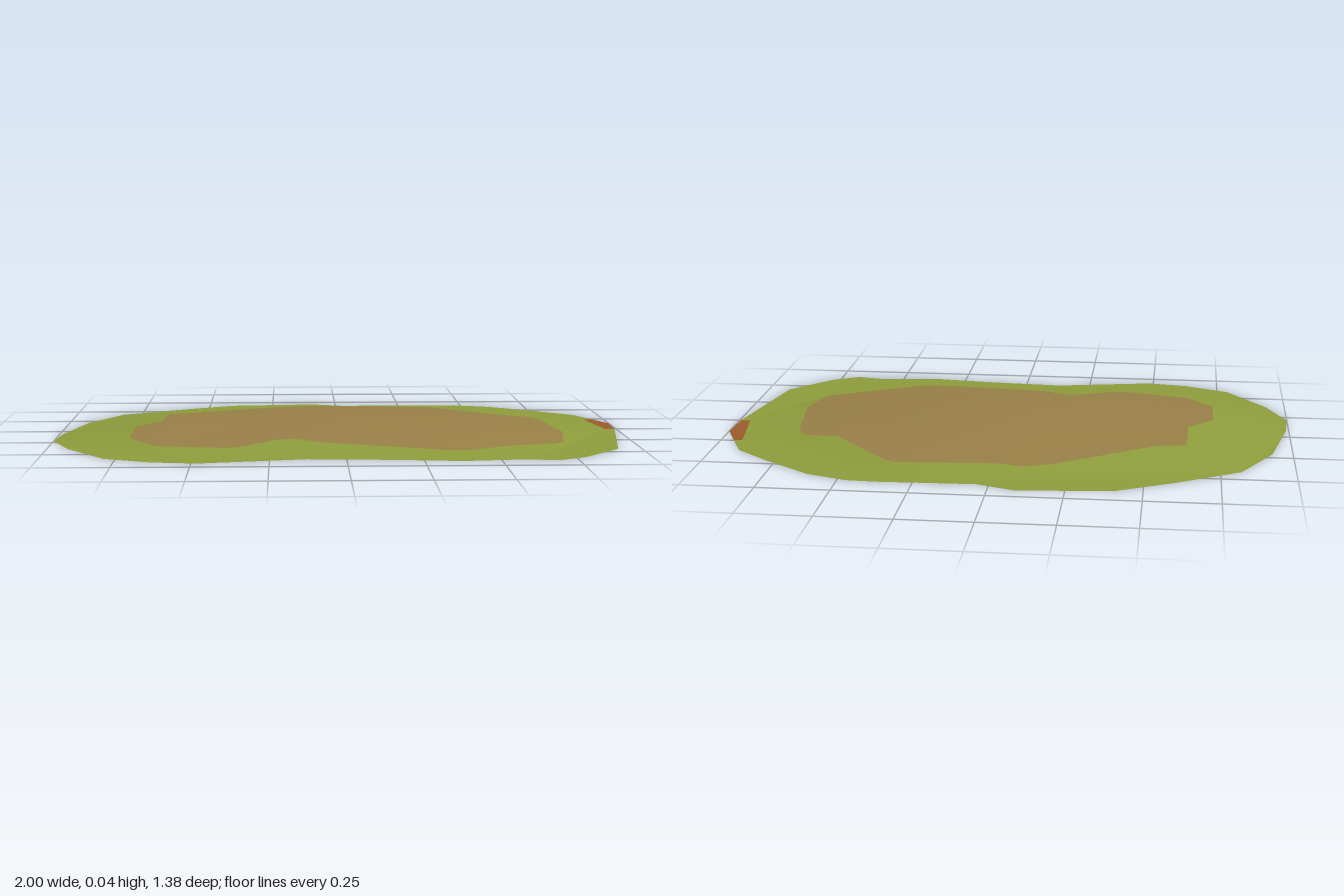
import * as THREE from 'three';

const flat = (name, color) => {
  const m = new THREE.MeshStandardMaterial({ color, side: THREE.DoubleSide });
  m.name = name;
  return m;
};
const grass = flat('grass green', 0x8f9f3c);
const earth = flat('earth brown', 0x9a8148);
const clay = flat('clay orange', 0x9b5c2b);

// Plan outlines as [x, z], clockwise seen from above
const rim = [
  [-0.41, -0.66], [-0.09, -0.69], [0.04, -0.64], [0.37, -0.65], [0.47, -0.645], [0.61, -0.595],
  [0.77, -0.475], [0.905, -0.36], [0.955, -0.245], [0.925, -0.24], [0.96, 0], [0.995, 0],
  [0.92, 0.44], [0.78, 0.605], [0.685, 0.66], [0.585, 0.64], [0.375, 0.665], [0.14, 0.635],
  [-0.13, 0.615], [-0.48, 0.685], [-0.63, 0.66], [-0.79, 0.585], [-0.93, 0.385], [-1, 0.215],
  [-0.99, 0.075], [-0.93, -0.21], [-0.82, -0.42], [-0.605, -0.555],
];
const plot = [
  [-0.1, -0.5], [-0.02, -0.48], [0.34, -0.485], [0.38, -0.46], [0.58, -0.235], [0.71, -0.205],
  [0.74, -0.155], [0.78, 0.14], [0.755, 0.33], [0.72, 0.355], [0.54, 0.44], [0.41, 0.515],
  [0.33, 0.52], [-0.085, 0.43], [-0.17, 0.38], [-0.22, 0.385], [-0.35, 0.475], [-0.4, 0.485],
  [-0.63, 0.43], [-0.73, 0.3], [-0.73, 0.09], [-0.64, -0.025], [-0.635, -0.23], [-0.54, -0.25],
  [-0.19, -0.47],
];
const patch = [[0.925, -0.24], [0.955, -0.245], [1, -0.14], [0.995, 0], [0.96, 0]];

// Height of the gentle mound, with a shallow hollow on one side
const crown = (x, z) =>
  0.045 - (x > 0 ? 0.05 : 0.028) * x * x - 0.1 * z * z
  - 0.008 * Math.exp(-((x + 0.4) ** 2 + (z - 0.16) ** 2) / 0.02);

const toPoints = (list) => list.map(([x, z]) => new THREE.Vector2(x, -z));

// Sheet spanning an outline lying on the ground and an optional raised hole
function sheet(outline, hole) {
  const shape = new THREE.Shape(toPoints(outline));
  if (hole) shape.holes.push(new THREE.Path(toPoints(hole)));
  const geo = new THREE.ShapeGeometry(shape).rotateX(-Math.PI / 2);
  const p = geo.attributes.position;
  for (let i = 0; i < p.count; i++) {
    p.setY(i, i < outline.length ? 0 : crown(p.getX(i), p.getZ(i)));
  }
  geo.computeVertexNormals();
  return geo;
}

// Mound made of shrinking copies of its outline
function mound(outline, rings) {
  const pos = [], index = [], n = outline.length;
  for (let r = 0; r < rings; r++) {
    const s = 1 - r / rings;
    for (const [x, z] of outline) pos.push(x * s, crown(x * s, z * s), z * s);
  }
  const top = n * rings;
  pos.push(0, crown(0, 0), 0);
  for (let r = 0; r < rings; r++) {
    for (let i = 0; i < n; i++) {
      const a = r * n + i, b = r * n + (i + 1) % n;
      if (r === rings - 1) index.push(a, top, b);
      else index.push(a, a + n, b, b, a + n, b + n);
    }
  }
  const geo = new THREE.BufferGeometry();
  geo.setAttribute('position', new THREE.Float32BufferAttribute(pos, 3));
  geo.setIndex(index);
  geo.computeVertexNormals();
  return geo;
}

export function createModel() {
  const group = new THREE.Group();
  group.name = 'groundPatch';
  const add = (name, geo, mat) => {
    const mesh = new THREE.Mesh(geo, mat);
    mesh.name = name;
    group.add(mesh);
  };
  add('grassBorder', sheet(rim, plot), grass);
  add('earthMound', mound(plot, 5), earth);
  add('clayPatch', sheet(patch), clay);
  return group;
}
